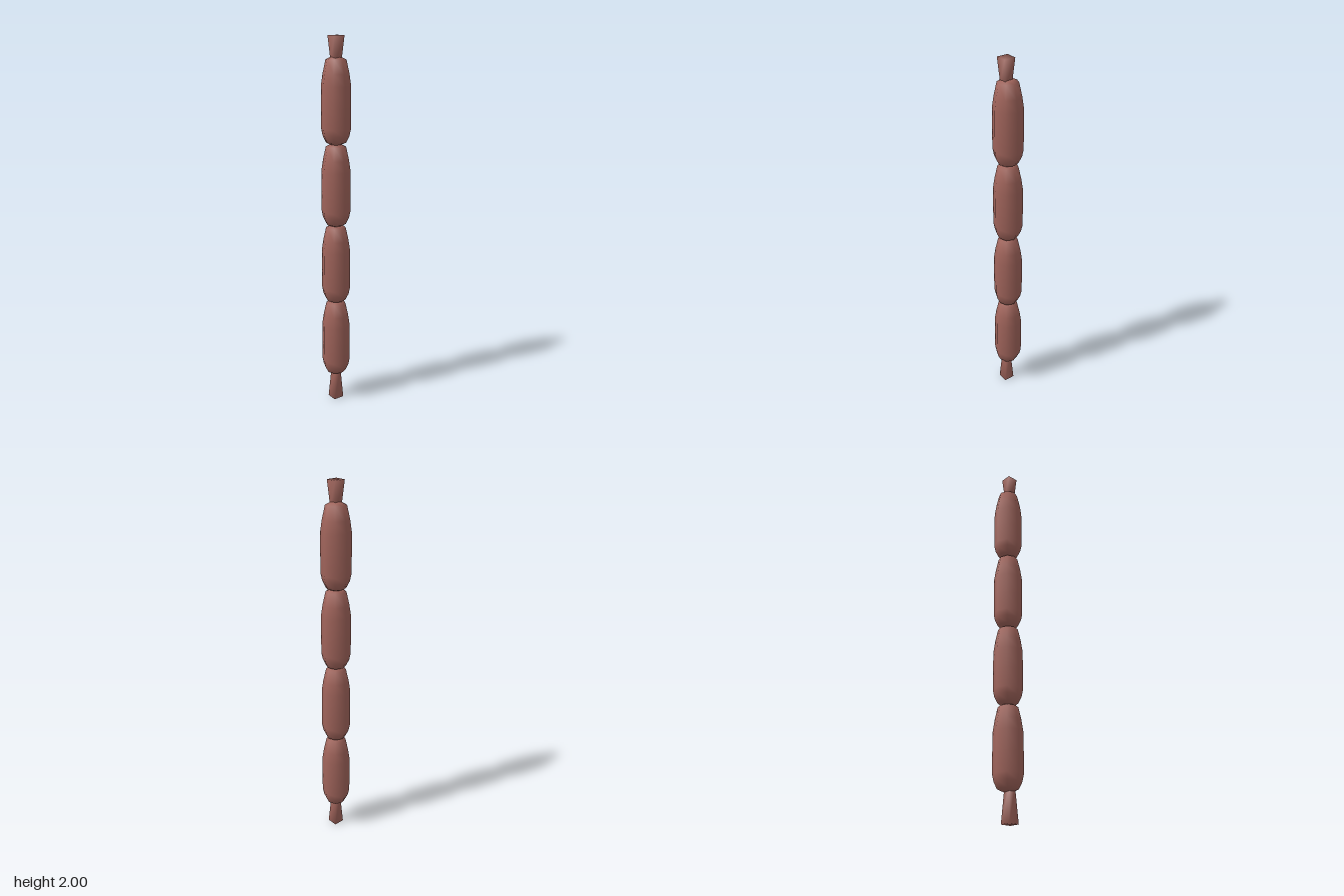
import * as THREE from 'three';
import { mergeVertices } from 'three/addons/utils/BufferGeometryUtils.js';

export function createModel() {
  const group = new THREE.Group();
  group.name = 'sausageString';
  const meat = new THREE.MeshStandardMaterial({ color: 0xa0645b });
  meat.name = 'sausage brown';

  // Eight-sided sausage link, profile from bottom tip to top tip
  const profile = [
    [0, 0], [0.026, 0.003], [0.053, 0.015], [0.07, 0.05], [0.077, 0.085],
    [0.078, 0.19], [0.077, 0.3], [0.068, 0.36], [0.053, 0.428], [0.026, 0.441], [0, 0.445],
  ].map(([r, y]) => new THREE.Vector2(r, y));
  const linkGeometry = new THREE.LatheGeometry(profile, 8);
  for (let i = 0; i < 4; i++) {
    const link = new THREE.Mesh(linkGeometry, meat);
    link.name = 'sausageLink' + (i + 1);
    link.position.y = 0.15 + i * 0.435;
    group.add(link);
  }

  // Square casing end, flaring away from the links, with softly shaded corners
  function addTie(name, y0, y1, half0, half1) {
    let geo = new THREE.BoxGeometry(2, y1 - y0, 2);
    geo.deleteAttribute('normal');
    geo.deleteAttribute('uv');
    geo = mergeVertices(geo);
    const p = geo.attributes.position;
    for (let i = 0; i < p.count; i++) {
      const half = p.getY(i) > 0 ? half1 : half0;
      p.setX(i, p.getX(i) * half);
      p.setZ(i, p.getZ(i) * half);
    }
    geo.computeVertexNormals();
    const tie = new THREE.Mesh(geo, meat);
    tie.name = name;
    tie.position.set(0.007, (y0 + y1) / 2, 0.005);
    group.add(tie);
  }
  addTie('topTie', 1.87, 2, 0.019, 0.03);
  addTie('bottomTie', 0, 0.18, 0.03, 0.018);

  return group;
}
